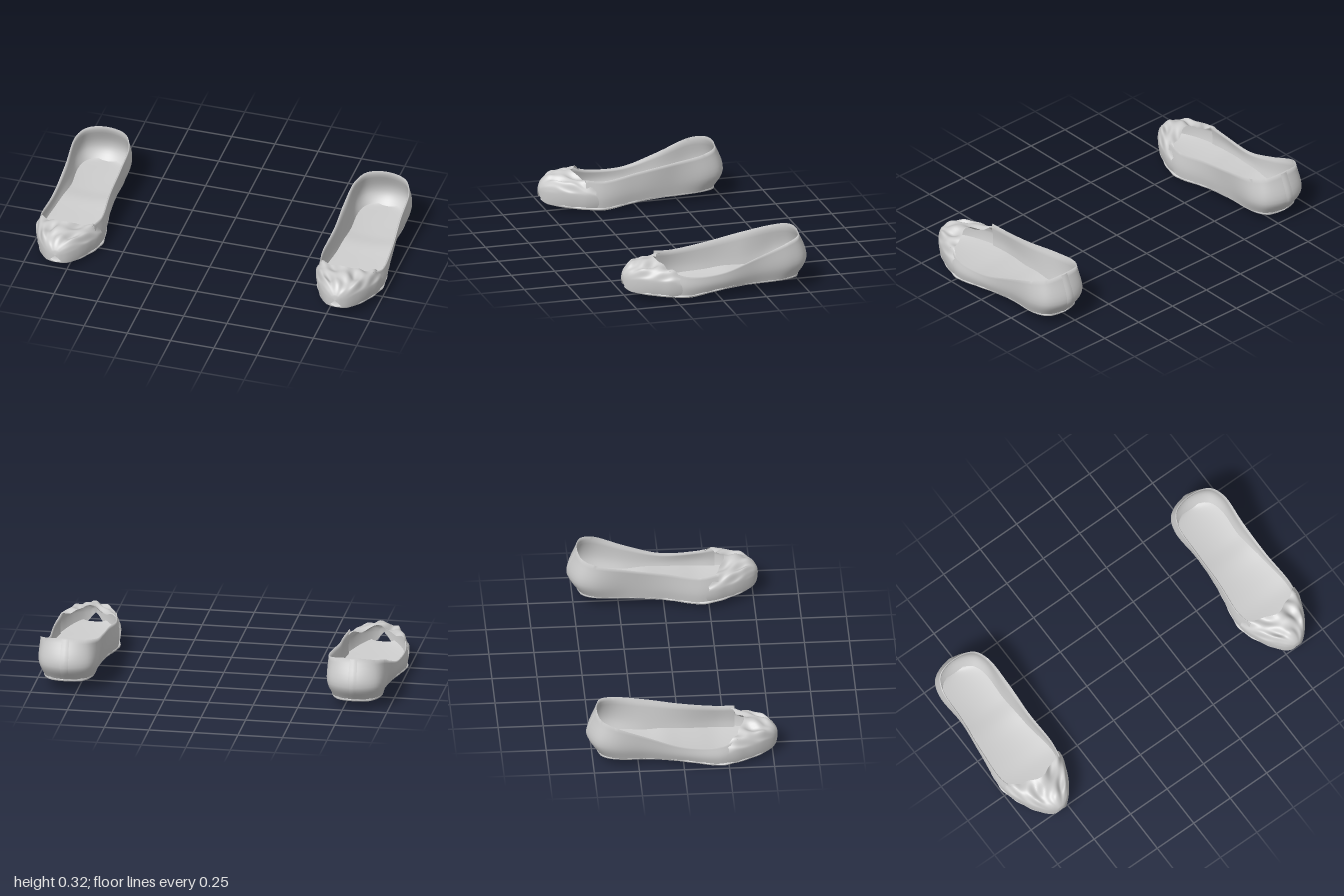
import * as THREE from 'three';

const material = new THREE.MeshStandardMaterial({ color: 0xcccccc, side: THREE.DoubleSide });

// Piecewise-linear lookup in rows of [position, value], smoothed between rows
function lookup(rows, p) {
  let i = 0;
  while (i < rows.length - 2 && p > rows[i + 1][0]) i++;
  const [a, b] = [rows[i], rows[i + 1]];
  const t = THREE.MathUtils.clamp((p - a[0]) / (b[0] - a[0]), 0, 1);
  const slope = k => {
    const l = rows[Math.max(k - 1, 0)], r = rows[Math.min(k + 1, rows.length - 1)];
    return (r[1] - l[1]) / (r[0] - l[0]) * (b[0] - a[0]);
  };
  const t2 = t * t, t3 = t2 * t;
  return (2 * t3 - 3 * t2 + 1) * a[1] + (t3 - 2 * t2 + t) * slope(i)
    + (3 * t2 - 2 * t3) * b[1] + (t3 - t2) * slope(i + 1);
}

// Grid surface from a point rule f(u, v) => [x, y, z]
function surface(name, nu, nv, f) {
  const pos = [], index = [];
  for (let i = 0; i <= nu; i++) {
    for (let j = 0; j <= nv; j++) {
      pos.push(...f(i / nu, j / nv));
      if (i < nu && j < nv) {
        const a = i * (nv + 1) + j, b = a + nv + 1;
        index.push(a, b, a + 1, b, b + 1, a + 1);
      }
    }
  }
  const g = new THREE.BufferGeometry();
  g.setAttribute('position', new THREE.Float32BufferAttribute(pos, 3));
  g.setIndex(index);
  g.computeVertexNormals();
  const mesh = new THREE.Mesh(g, material);
  mesh.name = name;
  return mesh;
}

// Height of the sole underside, and its inner and outer half widths, along z
const bottom = [[-0.5, 0.045], [-0.4, 0.04], [-0.2, 0.03], [-0.1, 0.032], [0, 0.02],
  [0.1, 0.01], [0.2, 0.001], [0.3, 0.009], [0.4, 0.02], [0.52, 0.037]];
const innerWidth = [[-0.485, 0.02], [-0.47, 0.075], [-0.43, 0.12], [-0.35, 0.14], [-0.2, 0.137],
  [0, 0.153], [0.2, 0.187], [0.28, 0.18], [0.4, 0.13], [0.48, 0.075], [0.515, 0.03]];
const outerWidth = [[-0.485, 0.02], [-0.47, 0.075], [-0.43, 0.12], [-0.35, 0.14], [-0.2, 0.133],
  [0, 0.16], [0.2, 0.187], [0.28, 0.175], [0.4, 0.13], [0.48, 0.075], [0.515, 0.03]];

// Rings of the upper: inner front corner, round the heel, to the outer front corner
function ring(xs, ys, zs) {
  return new THREE.CatmullRomCurve3(xs.map((x, i) => {
    const z = zs[Math.min(i, xs.length - 1 - i)];
    return new THREE.Vector3(x, ys ? ys[i] : lookup(bottom, z) + 0.012, z);
  }));
}
const base = ring(
  [-0.165, -0.18, -0.15, -0.135, -0.135, -0.1, 0, 0.1, 0.135, 0.13, 0.155, 0.18, 0.165],
  null, [0.3, 0.2, 0, -0.2, -0.37, -0.445, -0.475]);
const middle = ring(
  [-0.17, -0.185, -0.16, -0.15, -0.163, -0.125, 0, 0.125, 0.163, 0.152, 0.17, 0.19, 0.17],
  [0.09, 0.085, 0.1, 0.12, 0.14, 0.145, 0.145, 0.145, 0.14, 0.11, 0.08, 0.075, 0.09],
  [0.3, 0.2, 0, -0.2, -0.4, -0.485, -0.53]);
const rim = ring(
  [-0.155, -0.172, -0.162, -0.166, -0.155, -0.11, 0, 0.11, 0.155, 0.16, 0.17, 0.178, 0.155],
  [0.19, 0.18, 0.21, 0.245, 0.275, 0.292, 0.302, 0.29, 0.27, 0.2, 0.135, 0.135, 0.17],
  [0.3, 0.2, 0, -0.2, -0.38, -0.452, -0.475]);

function upperPoint(u, v) {
  // v runs up the outside, over the rim and down the lining
  const inside = v > 0.5, h = inside ? (1 - v) * 2 : v * 2;
  const wall = new THREE.CatmullRomCurve3([base, middle, rim].map(c => c.getPoint(u)));
  const p = wall.getPoint(Math.min(h, 1));
  if (inside) {
    const r = Math.hypot(p.x, Math.min(p.z + 0.3, 0));
    p.x -= 0.009 * p.x / r;
    p.z -= 0.009 * Math.min(p.z + 0.3, 0) / r;
  }
  return p.toArray();
}

// Puckered toe cap, swept from the opening to a blunt tip
const toeWidth = [[0.2, 0.188], [0.25, 0.188], [0.3, 0.18], [0.35, 0.16], [0.4, 0.138],
  [0.45, 0.108], [0.5, 0.065], [0.525, 0.025], [0.53, 0]];
const toeTop = [[0.2, 0.165], [0.25, 0.175], [0.3, 0.192], [0.4, 0.19], [0.46, 0.184],
  [0.5, 0.163], [0.525, 0.13], [0.53, 0.1]];
const toeBase = [[0.2, 0.015], [0.3, 0.02], [0.4, 0.032], [0.48, 0.042], [0.515, 0.055],
  [0.525, 0.075], [0.53, 0.1]];

function toePoint(u, v) {
  const a = -0.45 + v * (Math.PI + 0.9), c = Math.cos(a), s = Math.sin(a);
  const back = 0.24 + 0.095 * Math.max(s, 0) ** 3 + 0.008 * Math.sin(9 * a);
  const z = THREE.MathUtils.lerp(back, 0.53, Math.sin(u * Math.PI / 2));
  const top = lookup(toeTop, z), low = lookup(toeBase, z), mid = low + (top - low) * 0.48;
  const fade = Math.min(1, (0.53 - z) / 0.08);
  const pleat = fade * (0.055 * Math.cos(7 * (a - Math.PI / 2))
    + 0.03 * Math.sin(11 * a + 45 * z) + 0.025 * Math.sin(70 * z + 3 * a));
  const up = s > 0 ? s ** 0.8 * (top - mid) * (1 + 2.2 * pleat) : s / 0.435 * (mid - low);
  const x = Math.sign(c) * Math.abs(c) ** 0.85 * lookup(toeWidth, z) * (1 + 0.6 * pleat * Math.max(s, 0));
  return [x, mid + up, z];
}

// Thin sole with a slightly ragged welt
function solePoint(u, v) {
  const z = -0.485 + u, a = v * Math.PI * 2, c = Math.cos(a);
  const cap = Math.min(1, Math.min(u, 1 - u) * 60);
  const ragged = 1 + 0.02 * Math.sin(63 * z) * Math.max(0, z + 0.3);
  const w = lookup(c > 0 ? outerWidth : innerWidth, z) * ragged * cap;
  const x = Math.sign(c) * Math.abs(c) ** 0.5 * w;
  const y = lookup(bottom, z) + 0.012 + 0.012 * Math.sign(Math.sin(a)) * Math.abs(Math.sin(a)) ** 0.5 * cap;
  return [x, y + 0.25 * x * x, z];
}

function insolePoint(u, v) {
  const z = -0.475 + u * 0.96, k = v * 2 - 1;
  const x = k * (lookup(k > 0 ? outerWidth : innerWidth, z) - 0.006);
  return [x, lookup(bottom, z) + 0.027 + 0.012 * k * k, z];
}

function createShoe(name) {
  const shoe = new THREE.Group();
  shoe.name = name;
  shoe.add(
    surface('upper', 96, 24, upperPoint),
    surface('toeCap', 40, 72, toePoint),
    surface('sole', 80, 32, solePoint),
    surface('insole', 60, 12, insolePoint));

  // Back seam strip following the heel
  shoe.add(surface('heelSeam', 12, 4, (u, v) => {
    const p = upperPoint(0.5 + (v - 0.5) * 0.03, u * 0.49);
    return [p[0], p[1], p[2] - 0.003 * Math.sin(v * Math.PI)];
  }));
  return shoe;
}

export function createModel() {
  const pair = new THREE.Group();
  pair.name = 'pairOfSlippers';
  const left = createShoe('leftShoe');
  left.position.set(0.808, 0.02, 0);
  const right = createShoe('rightShoe');
  right.position.set(-0.81, 0, 0);
  right.scale.x = -1;
  pair.add(left, right);
  return pair;
}
